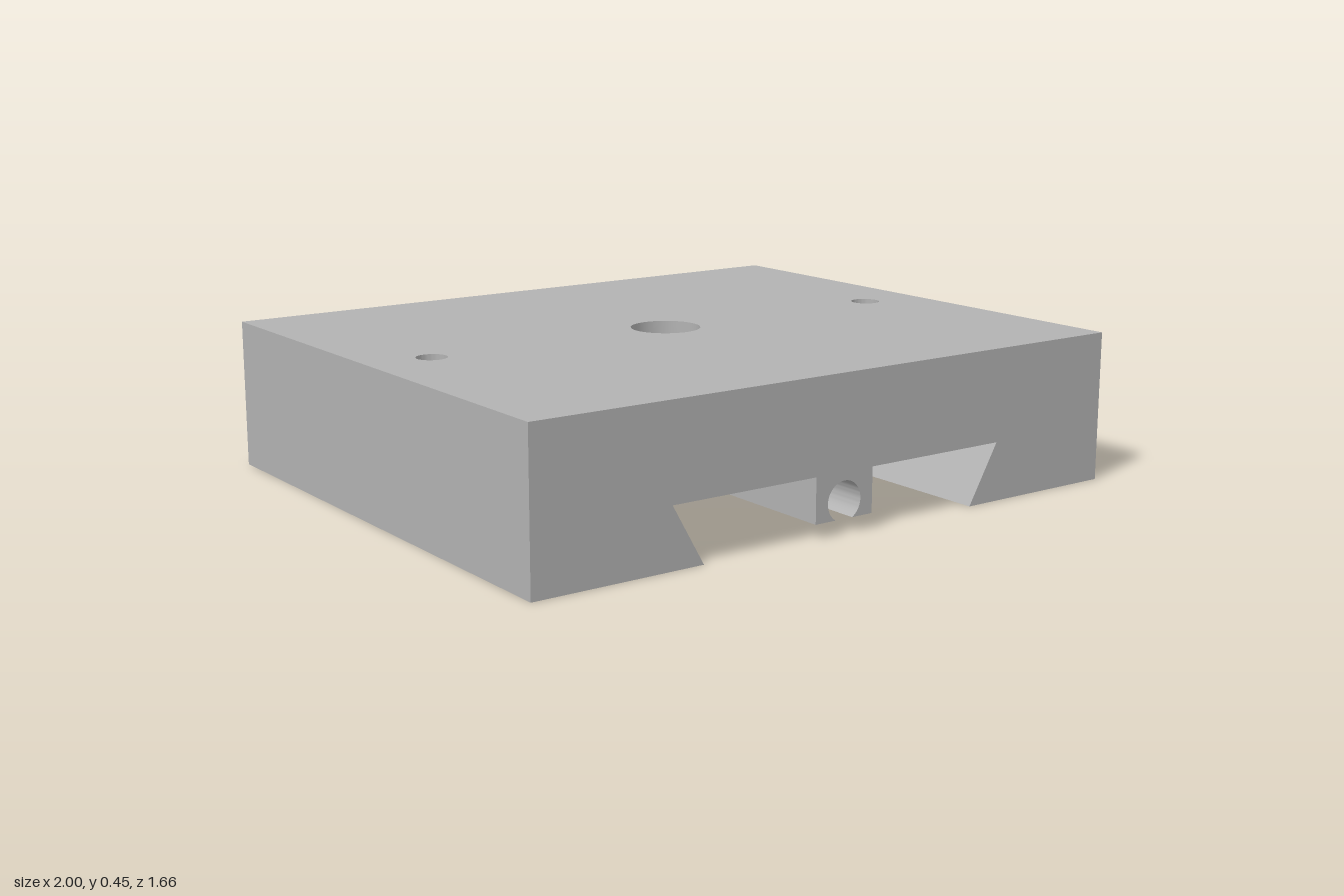
import * as THREE from 'three';
import { mergeGeometries, toCreasedNormals } from 'three/addons/utils/BufferGeometryUtils.js';

const H = 0.45, DEPTH = 1.66;
const HOLES = [ // x, radius, depth of the blind holes
  [-0.8, 0.045, 0.2],
  [0, 0.105, 0.2],
  [0.8, 0.045, 0.2],
];

// Dovetail cross-section with a central rib holding an open round channel
function profile() {
  const half = [[1, 0], [0.475, 0], [0.575, 0.175], [0.1, 0.175], [0.1, 0.043]];
  const cy = 0.093, r = 0.058, a = Math.asin((cy - 0.043) / r);
  const s = new THREE.Shape();
  half.forEach(([x, y], i) => (i ? s.lineTo(-x, y) : s.moveTo(-x, y)));
  s.absarc(0, cy, r, Math.PI + a, -a, true);
  [...half].reverse().forEach(([x, y]) => s.lineTo(x, y));
  s.lineTo(1, H);
  s.lineTo(-1, H);
  s.closePath();
  return s;
}

// Extruded body, left open on top for the drilled face
function bodyGeometry() {
  const geo = new THREE.ExtrudeGeometry(profile(), { depth: DEPTH, bevelEnabled: false, curveSegments: 24 });
  geo.translate(0, 0, -DEPTH / 2);
  const p = geo.attributes.position, keep = [];
  for (let i = 0; i < p.count; i += 3) {
    const isTop = [0, 1, 2].every((k) => p.getY(i + k) > H - 1e-4);
    if (!isTop) keep.push(i, i + 1, i + 2);
  }
  geo.clearGroups();
  geo.setIndex(keep);
  return toCreasedNormals(geo.toNonIndexed(), 0.5);
}

// Flat top face with round openings
function topGeometry() {
  const s = new THREE.Shape();
  s.moveTo(-1, -DEPTH / 2).lineTo(1, -DEPTH / 2).lineTo(1, DEPTH / 2).lineTo(-1, DEPTH / 2).closePath();
  for (const [x, r] of HOLES) s.holes.push(new THREE.Path().absarc(x, 0, r, 0, Math.PI * 2, true));
  const geo = new THREE.ShapeGeometry(s, 24);
  return geo.rotateX(-Math.PI / 2).translate(0, H, 0).toNonIndexed();
}

// Inward-facing wall and floor of a blind hole
function holeGeometry([x, r, d]) {
  const pts = [[r, H], [r, H - d], [0, H - d]].map(([u, v]) => new THREE.Vector2(u, v));
  return toCreasedNormals(new THREE.LatheGeometry(pts, 48).translate(x, 0, 0), 0.5);
}

export function createModel() {
  const grey = new THREE.MeshStandardMaterial({ color: 0xb2b2b2 });
  grey.name = 'grey';
  const model = new THREE.Group();
  model.name = 'dovetailPlate';

  const block = new THREE.Mesh(mergeGeometries([bodyGeometry(), topGeometry()]), grey);
  block.name = 'dovetailBlock';
  model.add(block);

  HOLES.forEach((hole, i) => {
    const mesh = new THREE.Mesh(holeGeometry(hole), grey);
    mesh.name = ['rightScrewHole', 'centreHole', 'leftScrewHole'][i];
    model.add(mesh);
  });
  return model;
}
